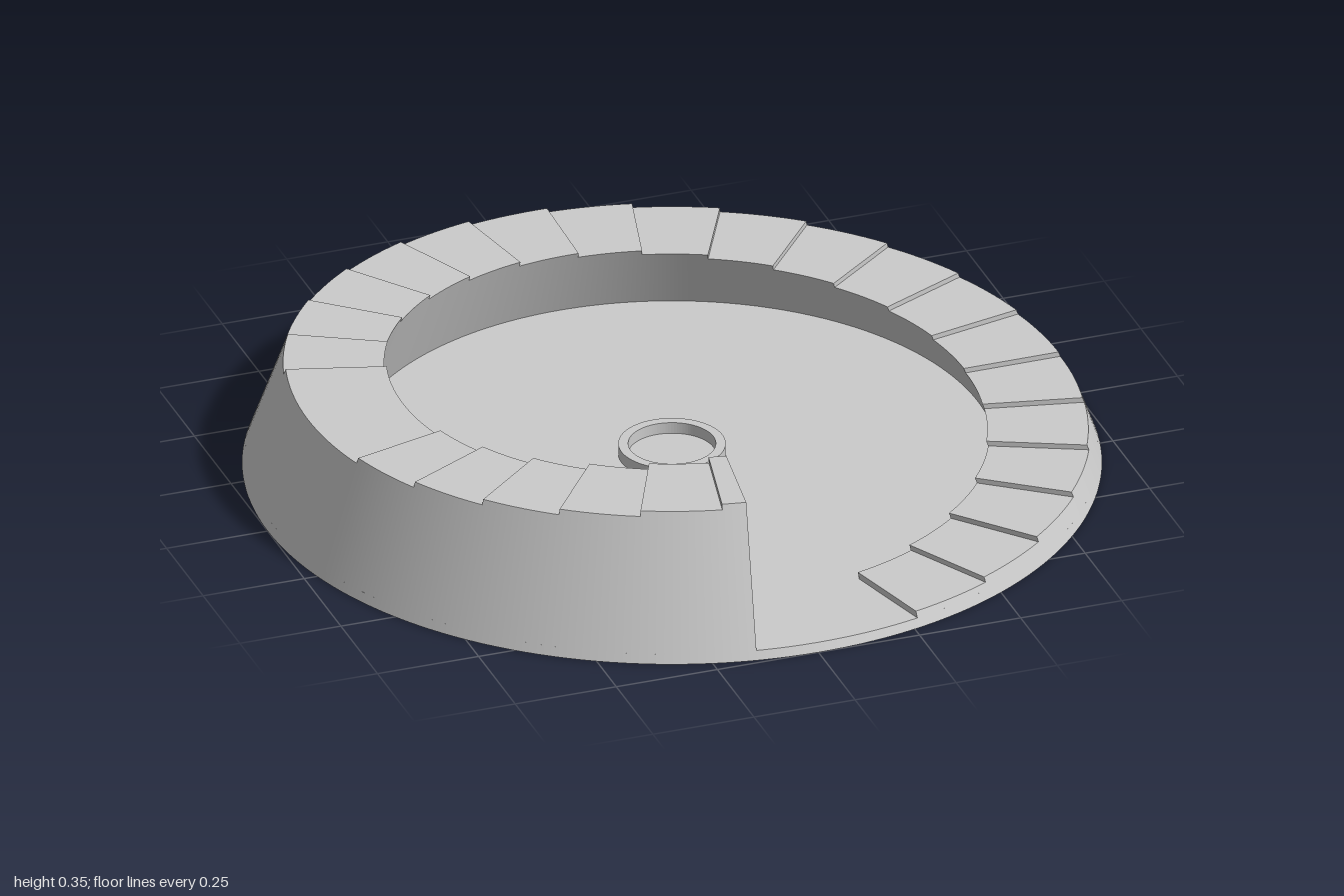
import * as THREE from 'three';

const SLOPE = 0.364;            // both walls lean inwards by about 20 degrees
const FLOOR = 0.022;
const RISE = 0.0125;
const outer = y => 1 - SLOPE * y;
const inner = y => 0.765 - SLOPE * y;
const rad = THREE.MathUtils.degToRad;

// Point at angle a (0 = front, growing towards +x), radius r, height y
const polar = (a, r, y) => [Math.sin(a) * r, y, Math.cos(a) * r];

// Angles where the steps start; the tread at 254 degrees is a wide landing
function stepAngles() {
  const angles = [];
  for (let i = 0; i < 20; i++) angles.push(15.2 + i * 12.55);
  for (let i = 0; i < 6; i++) angles.push(285.5 + i * 12.45);
  angles.push(351.5);
  return angles.map(rad);
}

function rampGeometry() {
  const pos = [], nor = [];
  const quad = (p, n) => [0, 1, 2, 0, 2, 3].forEach(i => { pos.push(...p[i]); nor.push(...n[i]); });
  const flat = n => [n, n, n, n];
  const c = 1 / Math.hypot(1, SLOPE), s = SLOPE * c;

  // Riser across the ramp between two heights; dir -1 faces the start, +1 the end
  const riser = (a, y0, y1, dir) => {
    const p = [polar(a, inner(y0), y0), polar(a, outer(y0), y0), polar(a, outer(y1), y1), polar(a, inner(y1), y1)];
    if (dir > 0) p.reverse();
    quad(p, flat([dir * Math.cos(a), 0, -dir * Math.sin(a)]));
  };

  const angles = stepAngles();
  let below = FLOOR;
  for (let k = 0; k < angles.length - 1; k++) {
    const h = (k + 3) * RISE, start = angles[k], span = angles[k + 1] - start;
    const n = Math.max(2, Math.ceil(span / rad(2)));
    riser(start, below, h, -1);
    for (let i = 0; i < n; i++) {
      const a = start + span * i / n, b = start + span * (i + 1) / n;
      // outer wall
      const na = polar(a, c, s), nb = polar(b, c, s);
      quad([polar(a, outer(FLOOR), FLOOR), polar(b, outer(FLOOR), FLOOR), polar(b, outer(h), h), polar(a, outer(h), h)],
        [na, nb, nb, na]);
      // inner wall, overhanging the floor
      const ma = polar(a, -c, -s), mb = polar(b, -c, -s);
      quad([polar(b, inner(FLOOR), FLOOR), polar(a, inner(FLOOR), FLOOR), polar(a, inner(h), h), polar(b, inner(h), h)],
        [mb, ma, ma, mb]);
      // tread
      quad([polar(a, outer(h), h), polar(b, outer(h), h), polar(b, inner(h), h), polar(a, inner(h), h)],
        flat([0, 1, 0]));
    }
    below = h;
  }
  riser(angles[angles.length - 1], FLOOR, below, 1);

  const g = new THREE.BufferGeometry();
  g.setAttribute('position', new THREE.Float32BufferAttribute(pos, 3));
  g.setAttribute('normal', new THREE.Float32BufferAttribute(nor, 3));
  return g;
}

export function createModel() {
  const group = new THREE.Group();
  const material = new THREE.MeshStandardMaterial({ color: 0xcccccc });
  const add = (name, geometry) => {
    const mesh = new THREE.Mesh(geometry, material);
    mesh.name = name;
    group.add(mesh);
    return mesh;
  };

  // Round floor plate with sloped rim
  add('floor', new THREE.CylinderGeometry(outer(FLOOR), 1, FLOOR, 180)).position.y = FLOOR / 2;

  // Rising ring of steps
  add('steppedRamp', rampGeometry());

  // Low ring in the middle of the floor
  const ring = new THREE.Shape().absarc(0, 0, 0.125, 0, Math.PI * 2);
  ring.holes.push(new THREE.Path().absarc(0, 0, 0.102, 0, Math.PI * 2, true));
  const ringGeometry = new THREE.ExtrudeGeometry(ring, { depth: 0.028, bevelEnabled: false, curveSegments: 48 });
  ringGeometry.rotateX(-Math.PI / 2);
  add('centreRing', ringGeometry).position.y = FLOOR;

  return group;
}
